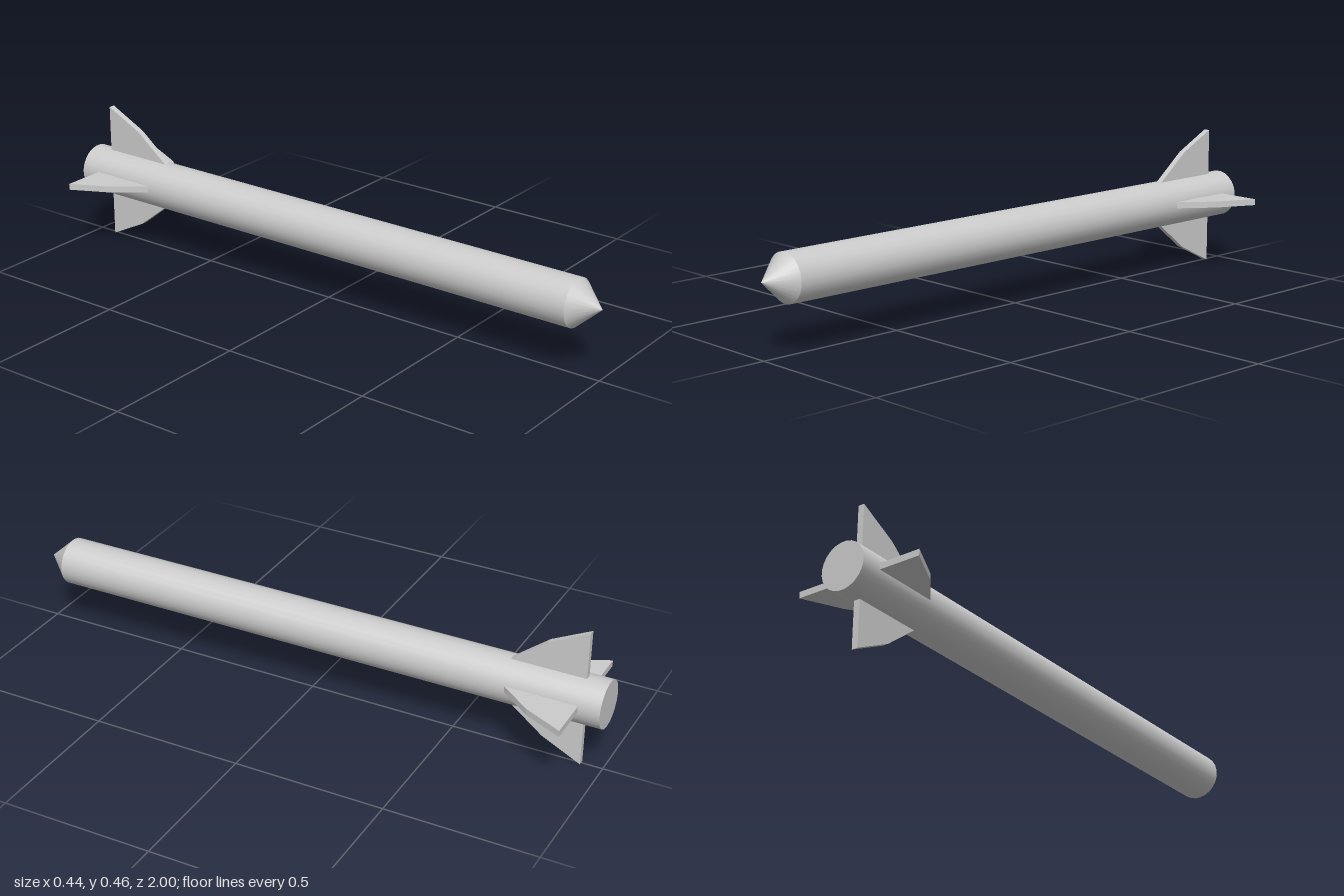
import * as THREE from 'three';

export function createModel() {
  const model = new THREE.Group();
  model.name = 'rocket';
  const material = new THREE.MeshStandardMaterial({ color: 0xcccccc });

  const add = (name, geometry, x, y, z) => {
    const mesh = new THREE.Mesh(geometry, material);
    mesh.name = name;
    mesh.position.set(x, y, z);
    model.add(mesh);
    return mesh;
  };

  const radius = 0.078, sides = 24, axisX = -0.003, axisY = 0.231;
  const tailZ = -1, shoulderZ = 0.915, tipZ = 1;
  const half = Math.PI / sides; // puts flat facets on the sides

  // Long tube with a flat tail end
  const tube = new THREE.CylinderGeometry(radius, radius, shoulderZ - tailZ, sides, 1, false, half);
  tube.rotateX(Math.PI / 2);
  add('body', tube, axisX, axisY, (shoulderZ + tailZ) / 2);

  // Short pointed nose
  const cone = new THREE.ConeGeometry(radius, tipZ - shoulderZ, sides, 1, true, half);
  cone.rotateX(Math.PI / 2);
  add('noseCone', cone, axisX, axisY, (tipZ + shoulderZ) / 2);

  // Swept tail fin lying in the x-z plane, pointing along +x, root inside the body
  const thickness = 0.021;
  const outline = [[0.04, -0.64], [0.078, -0.687], [0.167, -0.8], [0.2315, -0.93], [0.04, -0.93]];
  const finShape = new THREE.Shape(outline.map(([r, z]) => new THREE.Vector2(r, z)));
  const fin = new THREE.ExtrudeGeometry(finShape, { depth: thickness, bevelEnabled: false });
  fin.translate(0, 0, -thickness / 2);
  fin.rotateX(Math.PI / 2);

  // Four fins; the side pair sits slightly deeper in the body
  ['leftFin', 'topFin', 'rightFin', 'bottomFin'].forEach((name, i) => {
    const inset = i === 0 ? -0.009 : i === 2 ? 0.009 : 0;
    const y = i % 2 ? 0.2315 : 0.236;
    add(name, fin, inset, y, 0).rotation.z = i * Math.PI / 2;
  });

  return model;
}
